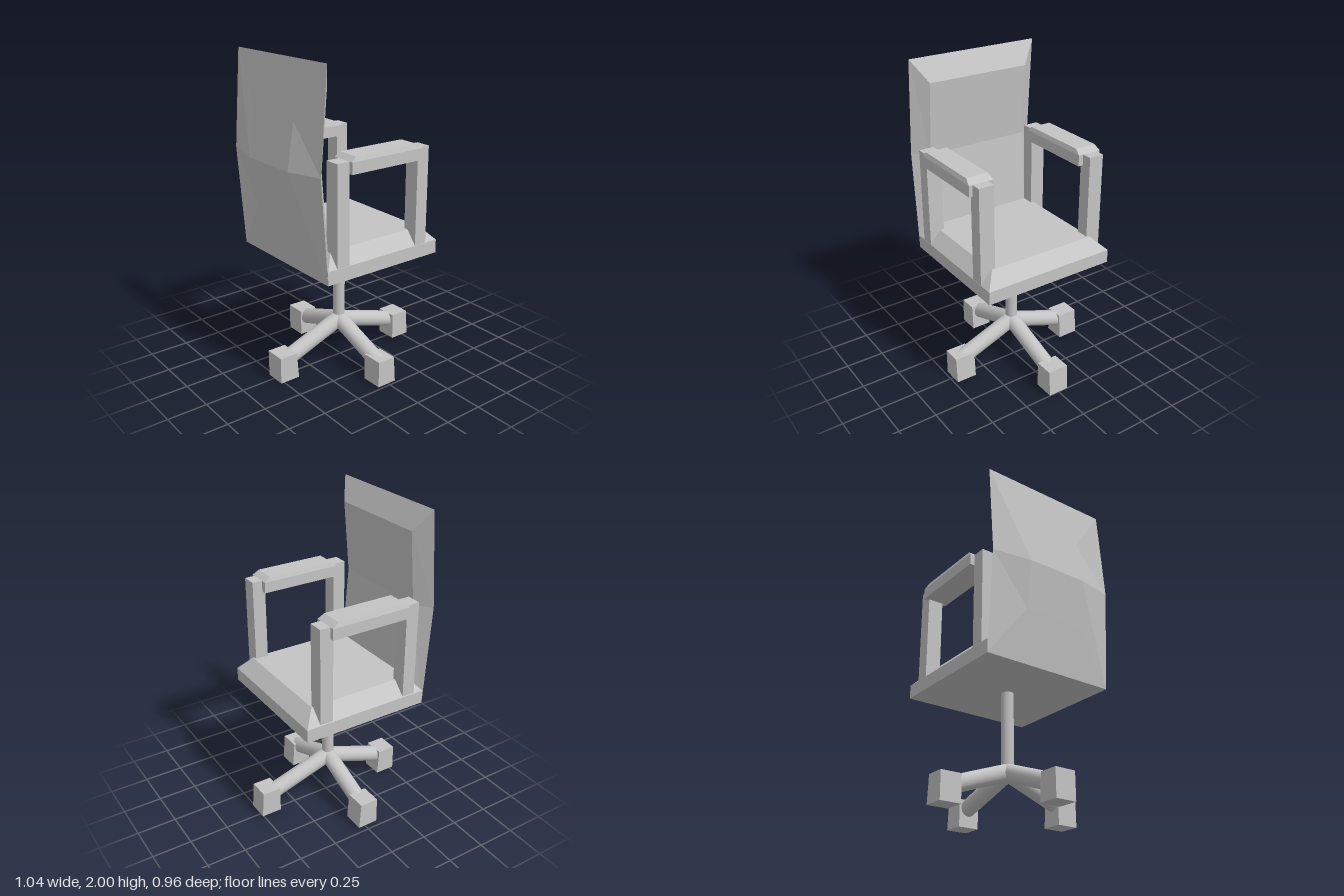
import * as THREE from 'three';

const grey = new THREE.MeshStandardMaterial({ color: 0xc4c4c4 });
grey.name = 'grey';

function add(parent, name, geometry) {
  const mesh = new THREE.Mesh(geometry, grey);
  mesh.name = name;
  parent.add(mesh);
  return mesh;
}

// Six-sided block between two rectangles [x0, x1, z0, z1] at heights y0 and y1
function block(y0, y1, lower, upper = lower) {
  const g = new THREE.BoxGeometry(1, 1, 1).toNonIndexed();
  const p = g.attributes.position;
  for (let i = 0; i < p.count; i++) {
    const up = p.getY(i) > 0;
    const r = up ? upper : lower;
    p.setXYZ(i, r[p.getX(i) > 0 ? 1 : 0], up ? y1 : y0, r[p.getZ(i) > 0 ? 3 : 2]);
  }
  g.computeVertexNormals();
  return g;
}

// Round bar between two points
function bar(a, b, radius) {
  const dir = b.clone().sub(a);
  const g = new THREE.CylinderGeometry(radius, radius, dir.length(), 24);
  g.applyQuaternion(new THREE.Quaternion().setFromUnitVectors(new THREE.Vector3(0, 1, 0), dir.clone().normalize()));
  const mid = a.clone().add(b).multiplyScalar(0.5);
  return g.translate(mid.x, mid.y, mid.z);
}

// Bent backrest: three six-point rings (front panel, outer rim, back panel)
function backrestGeometry() {
  const ring = (top, mid, bottom, z0, z1) => [
    [...top, z0], [...top, z1], [...mid, z1], [...bottom, z1], [...bottom, z0], [...mid, z0],
  ];
  const front = ring([-0.36, 1.86], [-0.4, 1.4], [-0.36, 0.92], -0.33, 0.35);
  const rim = ring([-0.43, 2], [-0.475, 1.4], [-0.43, 0.765], -0.43, 0.445);
  const back = ring([-0.481, 1.67], [-0.525, 1.39], [-0.481, 1.09], -0.19, 0.205);
  const pos = [];
  const quad = (a, b, c, d) => pos.push(...a, ...b, ...c, ...a, ...c, ...d);
  for (let i = 0; i < 6; i++) {
    const j = (i + 1) % 6;
    quad(rim[i], rim[j], front[j], front[i]);
    quad(back[i], back[j], rim[j], rim[i]);
  }
  quad(front[0], front[1], front[2], front[5]);
  quad(front[5], front[2], front[3], front[4]);
  quad(back[5], back[2], back[1], back[0]);
  quad(back[4], back[3], back[2], back[5]);
  const g = new THREE.BufferGeometry();
  g.setAttribute('position', new THREE.Float32BufferAttribute(pos, 3));
  g.computeVertexNormals();
  return g;
}

export function createModel() {
  const chair = new THREE.Group();
  chair.name = 'officeChair';

  // Seat slab with bevelled cushion
  const slab = [-0.43, 0.4, -0.43, 0.445];
  add(chair, 'seat', block(0.765, 0.85, slab));
  add(chair, 'seatCushion', block(0.85, 0.935, slab, [-0.36, 0.32, -0.345, 0.375]));
  add(chair, 'backrest', backrestGeometry());

  // Armrests: two posts and a bevelled pad on each side
  for (const [side, z] of [['front', 0.395], ['rear', -0.377]]) {
    const arm = new THREE.Group();
    arm.name = side + 'Armrest';
    chair.add(arm);
    for (const x of [-0.365, 0.225]) {
      add(arm, 'armPost', block(0.85, 1.46, [x, x + 0.085, z - 0.049, z + 0.049]));
    }
    const c = side === 'front' ? 0.388 : -0.375;
    const pad = [-0.28, 0.245, c - 0.079, c + 0.079];
    add(arm, 'armPad', block(1.39, 1.46, pad));
    add(arm, 'armPadTop', block(1.46, 1.488, pad, [-0.25, 0.205, c - 0.07, c + 0.07]));
  }

  // Column and four-legged base
  const hub = new THREE.Vector3(-0.02, 0.27, 0.01);
  add(chair, 'column', bar(new THREE.Vector3(-0.02, 0.22, 0.01), new THREE.Vector3(-0.02, 0.77, 0.01), 0.038));

  // Leg end point, then caster footprint centre and floor height
  const legs = [
    [[0.41, 0.135, 0.012], [0.445, 0.02, 0.015]],
    [[-0.41, 0.125, 0.012], [-0.465, 0.003, 0.015]],
    [[-0.015, 0.12, 0.41], [-0.015, 0, 0.412]],
    [[-0.015, 0.12, -0.41], [-0.015, 0.02, -0.412]],
  ];
  for (const [end, [x, y, z]] of legs) {
    add(chair, 'leg', bar(hub, new THREE.Vector3(...end), 0.052));
    add(chair, 'caster', block(y, y + 0.17,
      [x - 0.06, x + 0.073, z - 0.068, z + 0.068], [x - 0.06, x + 0.06, z - 0.068, z + 0.068]));
  }
  return chair;
}
